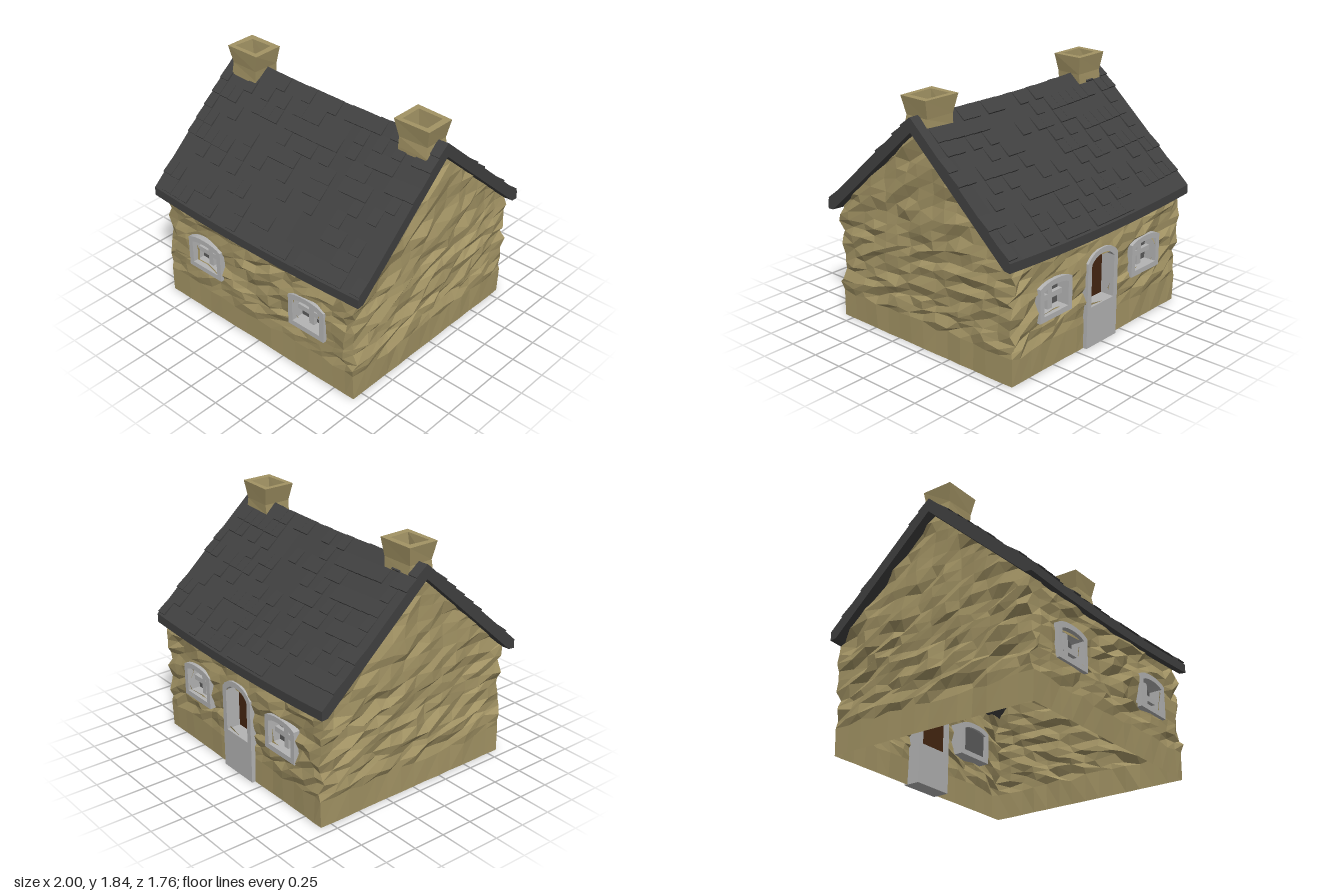
import * as THREE from 'three';

const mat = (color, double = false) => new THREE.MeshStandardMaterial({
  color, flatShading: true, side: double ? THREE.DoubleSide : THREE.FrontSide });
const STONE = mat(0xa29364, true), SLATE = mat(0x404040), FRAME = mat(0xb4b4b4);
const GLASS = mat(0x5c5c5c, true), WOOD = mat(0x452611, true);

const W = 0.93, D = 0.835;            // half width and half depth of the walls
const PITCH = 0.9, RIDGE = 1.72;      // roof slope and outer ridge height

// Repeatable pseudo-random value in -1..1 for a point
function noise(x, y, z, k) {
  const s = Math.sin(x * 127.1 + y * 311.7 + z * 74.7 + k * 53.3) * 43758.5453;
  return 2 * (s - Math.floor(s)) - 1;
}
const sag = x => -0.033 * (1 - x * x);

function add(parent, name, geometry, material, x = 0, y = 0, z = 0) {
  const m = new THREE.Mesh(geometry, material);
  m.name = name;
  m.position.set(x, y, z);
  parent.add(m);
  return m;
}

// Rough stone wall: a grid of jittered corners, cut off by the roof line
const ROWS = [0, 0.2, 0.26, 0.32, 0.37, 0.42, 0.49, 0.56, 0.62, 0.68, 0.74, 0.8, 0.87,
  0.95, 1.03, 1.11, 1.2, 1.29, 1.38, 1.47, 1.56, 1.66];
function wallGeometry(cols, dist, angle, rows, holes = []) {
  const pos = [], c = Math.round(Math.cos(angle)), s = Math.round(Math.sin(angle));
  const corner = (u, y) => {
    const x = u * c + dist * s, z = dist * c - u * s;
    const rough = y < 0.1 ? 0.1 : y < 0.22 ? 0.35 : 1;
    const px = x + 0.026 * rough * noise(x, y, z, 1);
    const pz = z + 0.024 * rough * noise(x, y, z, 2);
    const py = y === 0 ? 0 : y + 0.018 * noise(x, y, z, 3);
    return [px, Math.min(py, 1.655 - PITCH * Math.abs(pz)), pz];
  };
  for (let i = 0; i < cols.length - 1; i++) for (let j = 0; j < rows.length - 1; j++) {
    const u = (cols[i] + cols[i + 1]) / 2, v = (rows[j] + rows[j + 1]) / 2;
    if (holes.some(h => u > h[0] && u < h[1] && v > h[2] && v < h[3])) continue;
    if (v - 0.2 > 1.655 - PITCH * (c ? D : Math.abs(u) - 0.08)) continue;
    const a = corner(cols[i], rows[j]), b = corner(cols[i + 1], rows[j]);
    const e = corner(cols[i + 1], rows[j + 1]), d = corner(cols[i], rows[j + 1]);
    pos.push(...a, ...b, ...e, ...a, ...e, ...d);
  }
  const g = new THREE.BufferGeometry();
  g.setAttribute('position', new THREE.Float32BufferAttribute(pos, 3));
  g.computeVertexNormals();
  return g;
}

// Arched outline: straight sides up to ySide, curved top up to yTop
function arch(path, w, y0, ySide, yTop) {
  path.moveTo(-w, y0);
  path.lineTo(w, y0);
  path.lineTo(w, ySide);
  path.quadraticCurveTo(w * 0.65, yTop, 0, yTop);
  path.quadraticCurveTo(-w * 0.65, yTop, -w, ySide);
  path.closePath();
  return path;
}
function archFrame(outer, inner, depth) {
  const shape = arch(new THREE.Shape(), ...outer);
  shape.holes.push(arch(new THREE.Path(), ...inner));
  return new THREE.ExtrudeGeometry(shape, { depth, bevelEnabled: false, curveSegments: 4 });
}

function makeWindow(x) {
  const g = new THREE.Group();
  g.name = 'window';
  const inner = [0.127, 0.42, 0.6, 0.625];
  add(g, 'windowFrame', archFrame([0.167, 0.38, 0.63, 0.665], inner, 0.12), FRAME, 0, 0, 0.745);
  add(g, 'windowPane', new THREE.ShapeGeometry(arch(new THREE.Shape(), ...inner), 4), GLASS, 0, 0, 0.765);
  add(g, 'uprightBar', new THREE.BoxGeometry(0.045, 0.21, 0.03), FRAME, 0, 0.52, 0.79);
  add(g, 'crossBar', new THREE.BoxGeometry(0.255, 0.04, 0.03), FRAME, 0, 0.515, 0.79);
  g.position.x = x;
  return g;
}

function makeDoor() {
  const g = new THREE.Group();
  g.name = 'door';
  const inner = [0.127, 0.31, 0.63, 0.69];
  add(g, 'doorFrame', archFrame([0.17, 0, 0.65, 0.73], inner, 0.13), FRAME, 0, 0, 0.735);
  add(g, 'doorPanel', new THREE.ShapeGeometry(arch(new THREE.Shape(), ...inner), 4), WOOD, 0, 0, 0.755);
  return g;
}

// Flared square chimney with a sunken flue
function chimneyGeometry(seed) {
  const profile = [[0.115, 1.5], [0.122, 1.62], [0.118, 1.7], [0.142, 1.835],
    [0.098, 1.835], [0.085, 1.7], [0, 1.7]].map(([r, y]) => new THREE.Vector2(r * Math.SQRT2, y));
  const g = new THREE.LatheGeometry(profile, 4, Math.PI / 4);
  const p = g.attributes.position;
  for (let i = 0; i < p.count; i++) {
    const x = p.getX(i), y = p.getY(i), z = p.getZ(i);
    const k = [x, y, z].map(v => Math.round(v * 1000) / 1000 + 0);
    p.setXYZ(i, x + 0.01 * noise(...k, seed), y, z * 0.86 + 0.008 * noise(...k, seed + 1));
  }
  return g;
}

// Roof shell: a thick chevron run along x, sagging in the middle
function roofGeometry() {
  const s = new THREE.Shape();
  [[0.88, 0.86], [0.88, RIDGE - PITCH * 0.88], [0, RIDGE], [-0.88, RIDGE - PITCH * 0.88],
    [-0.88, 0.86], [-0.83, 0.865], [0, 1.615], [0.83, 0.865]]
    .forEach(([x, y], i) => i ? s.lineTo(x, y) : s.moveTo(x, y));
  const g = new THREE.ExtrudeGeometry(s, { depth: 2, steps: 16, bevelEnabled: false });
  g.translate(0, 0, -1).rotateY(Math.PI / 2);
  const p = g.attributes.position;
  for (let i = 0; i < p.count; i++) p.setY(i, p.getY(i) + sag(p.getX(i)));
  return g;
}

// Scattered raised slates on both slopes, their lower edges lifted
function addSlates(parent) {
  const cols = 24, rows = 10, w = 2 / cols, len = Math.hypot(1, PITCH) * 0.087;
  const geo = new THREE.BoxGeometry(w, 0.014, len);
  for (const side of [1, -1]) {
    const slope = new THREE.Group();
    slope.name = side > 0 ? 'frontSlates' : 'backSlates';
    for (let i = 0; i < cols; i++) for (let j = 0; j < rows; j++) {
      if (noise(i, j, side, 5) < 0.05) continue;
      const x = -1 + (i + 0.5) * w, z = 0.046 + j * 0.0865;
      const m = add(slope, 'slate', geo, SLATE, x, RIDGE + sag(x) - PITCH * z + 0.002, z);
      m.rotation.set(Math.atan(PITCH) - 0.09, 0, 0);
    }
    if (side < 0) slope.rotation.y = Math.PI;
    parent.add(slope);
  }
}

export function createModel() {
  const house = new THREE.Group();
  house.name = 'cottage';

  // Walls; the long sides have openings, the short sides rise to gables
  const half = [0.13, 0.25, 0.38, 0.505, 0.63, 0.74, 0.85, W];
  const long = [...half.map(v => -v).reverse(), 0, ...half];
  const short = Array.from({ length: 15 }, (_, i) => (i - 7) / 7 * D);
  const windows = [[0.38, 0.63, 0.42, 0.62], [-0.63, -0.38, 0.42, 0.62]];
  const low = ROWS.slice(0, 14);
  add(house, 'frontWall', wallGeometry(long, D, 0, low, windows), STONE);
  add(house, 'backWall', wallGeometry(long, D, Math.PI, low,
    [...windows, [-0.13, 0.13, 0.32, 0.68]]), STONE);
  add(house, 'leftGable', wallGeometry(short, W, Math.PI / 2, ROWS), STONE);
  add(house, 'rightGable', wallGeometry(short, W, -Math.PI / 2, ROWS), STONE);

  // Windows on both long sides, door in the back
  const back = new THREE.Group();
  back.name = 'backOpenings';
  back.rotation.y = Math.PI;
  back.add(makeDoor());
  for (const x of [-0.51, 0.51]) {
    house.add(makeWindow(x));
    back.add(makeWindow(x));
  }
  house.add(back);

  // Roof and chimneys
  add(house, 'roof', roofGeometry(), SLATE);
  addSlates(house);
  add(house, 'rightChimney', chimneyGeometry(3), STONE, -0.795, 0, 0.02);
  add(house, 'leftChimney', chimneyGeometry(8), STONE, 0.795, 0, 0.02);
  return house;
}
